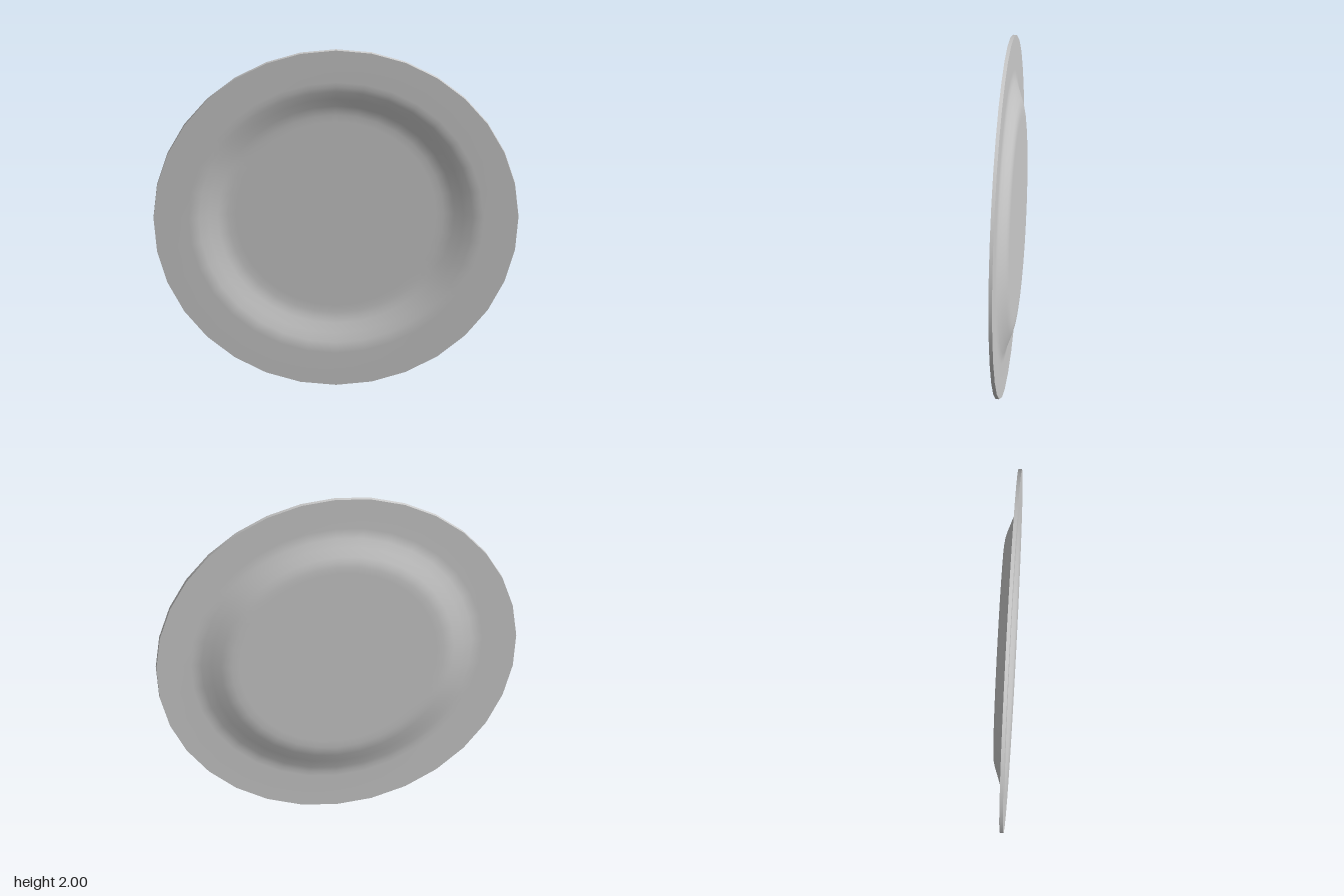
import * as THREE from 'three';

const SEGMENTS = 32;

// Half profile of one face, as [radius, height]: flat well, S-curved wall, flat rim
const FACE = [
  [0, 0], [0.55, 0], [0.59, 0.001], [0.62, 0.005], [0.65, 0.013],
  [0.7, 0.031], [0.75, 0.048], [0.78, 0.054], [0.81, 0.056], [1, 0.056],
];
const BACK_Z = -0.038;
const THICKNESS = 0.02;

export function createModel() {
  const group = new THREE.Group();
  group.name = 'plate';
  const material = new THREE.MeshStandardMaterial({ color: 0xcccccc });

  // Turns a profile around the z axis
  const addTurned = (name, profile) => {
    const points = profile.map(([r, h]) => new THREE.Vector2(r, h));
    const geometry = new THREE.LatheGeometry(points, SEGMENTS);
    geometry.rotateX(Math.PI / 2);
    const mesh = new THREE.Mesh(geometry, material);
    mesh.name = name;
    mesh.position.y = 1;
    group.add(mesh);
  };
  const faceAt = (z) => FACE.map(([r, h]) => [r, h + z]);

  // Separate surfaces keep the two rim corners sharp
  addTurned('backFace', faceAt(BACK_Z));
  addTurned('rimEdge', [[1, 0.018], [1, 0.038]]);
  addTurned('frontFace', faceAt(BACK_Z + THICKNESS).reverse());

  return group;
}
